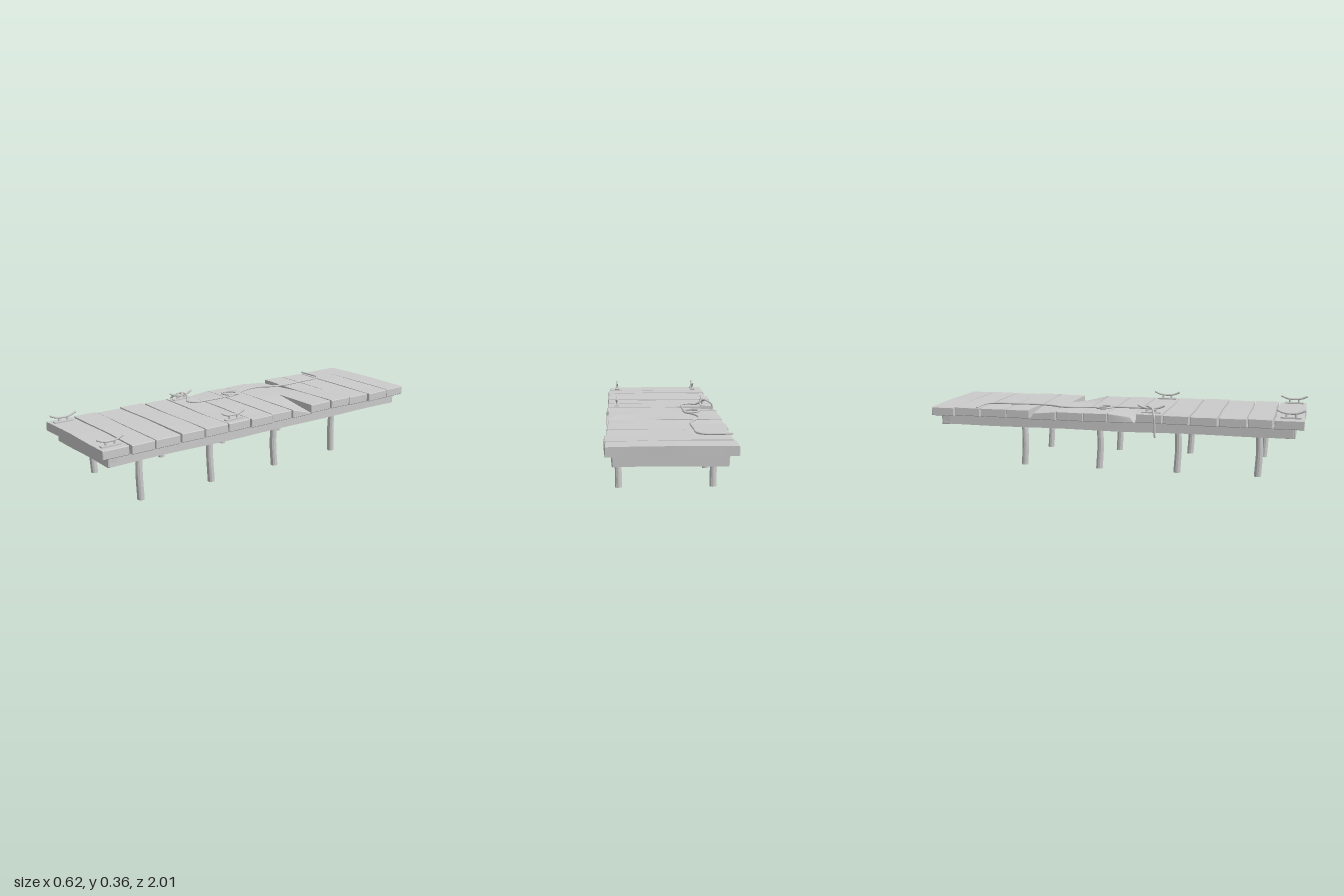
import * as THREE from 'three';
import { toCreasedNormals } from 'three/addons/utils/BufferGeometryUtils.js';

const material = new THREE.MeshStandardMaterial({ color: 0xcccccc });

function addMesh(parent, name, geometry) {
  const mesh = new THREE.Mesh(geometry, material);
  mesh.name = name;
  parent.add(mesh);
  return mesh;
}

// Move every vertex by a rule, then refresh the normals
function warp(geometry, rule) {
  const p = geometry.attributes.position;
  const v = new THREE.Vector3();
  for (let i = 0; i < p.count; i++) {
    v.fromBufferAttribute(p, i);
    rule(v);
    p.setXYZ(i, v.x, v.y, v.z);
  }
  return toCreasedNormals(geometry, 0.6);
}

// Bevelled timber running along x, centred on the origin
function timber(length, height, width, bevel, steps) {
  const w = width / 2 - bevel, h = height / 2 - bevel;
  const shape = new THREE.Shape();
  shape.moveTo(-w, -h);
  shape.lineTo(w, -h);
  shape.lineTo(w, h);
  shape.lineTo(-w, h);
  shape.closePath();
  const depth = length - 2 * bevel;
  const g = new THREE.ExtrudeGeometry(shape, {
    depth, steps, bevelEnabled: true, bevelSize: bevel, bevelThickness: bevel, bevelSegments: 1,
  });
  return g.translate(0, 0, -depth / 2).rotateY(Math.PI / 2);
}

// Deck boards: left end, right end, back edge, front edge
const boards = [
  [-0.305, 0.297, -1.0, -0.868], [-0.295, 0.303, -0.863, -0.72], [-0.297, 0.293, -0.716, -0.572],
  [-0.306, 0.293, -0.57, -0.436], [-0.305, 0.287, -0.433, -0.292], [-0.306, 0.303, -0.288, -0.144],
  [-0.302, 0.293, -0.143, -0.01], [-0.306, 0.303, -0.008, 0.133], [-0.292, 0.298, 0.138, 0.278],
  [-0.295, 0.298, 0.282, 0.42], [-0.308, 0.303, 0.428, 0.565], [-0.295, 0.298, 0.57, 0.714],
  [-0.302, 0.303, 0.72, 0.845], [-0.302, 0.293, 0.853, 1.0],
];
// Worn board edges: edge side along z, direction along x, depth
const chips = { 4: [-1, -1, 0.012], 5: [-1, 1, 0.032], 7: [1, -1, 0.014] };

function buildDeck(parent) {
  const deck = new THREE.Group();
  deck.name = 'deck';
  parent.add(deck);
  boards.forEach(([x0, x1, z0, z1], i) => {
    const width = z1 - z0;
    const chip = chips[i];
    const g = warp(timber(x1 - x0, 0.046, width, 0.003, 10), (v) => {
      const edge = Math.sign(v.z);
      const nearEdge = Math.abs(v.z) > width / 2 - 0.004;
      if (chip && v.y > 0 && nearEdge && edge === chip[0]) {
        const reach = Math.max(0, v.x * chip[1]) / 0.3;
        v.y -= chip[2] * reach;
        v.z -= edge * 0.02 * reach;
      }
      v.z += 0.002 * Math.sin(v.x * 14 + i * 2.3 + edge) - edge * 0.001;
      v.y += 0.0015 * Math.cos(v.x * 8 + i * 1.1 * (i < 13 ? 1 : 0));
      v.x += 0.01 * v.z * Math.sin(i * 1.9);
    });
    const board = addMesh(deck, 'deckBoard', g);
    board.position.set((x0 + x1) / 2, 0.288 + 0.001 * Math.sin(i * 2.7), (z0 + z1) / 2);
    board.rotation.x = 0.012 * Math.sin(i * 1.7);
  });
}

function buildFrame(parent) {
  const frame = new THREE.Group();
  frame.name = 'supportFrame';
  parent.add(frame);
  for (const s of [-1, 1]) {
    // Long side beams
    const side = addMesh(frame, 'sideBeam', warp(timber(1.9, 0.054, 0.05, 0.003, 24), (v) => {
      v.y += 0.0015 * Math.sin(v.x * 9 + s);
      v.z += 0.003 * Math.sin(v.x * 5 + s * 2);
    }));
    side.rotation.y = Math.PI / 2;
    side.position.set(s * 0.241, 0.239, 0);
    // Short end beams
    const end = addMesh(frame, 'endBeam', warp(timber(0.53, 0.055, 0.05, 0.003, 10), (v) => {
      v.y += 0.002 * Math.sin(v.x * 12 + 0.6);
      v.x += v.y * 0.06 * Math.sign(v.x);
    }));
    end.position.set(0, 0.238, s * 0.932);
  }
}

function buildPosts(parent) {
  [0.775, 0.355, -0.065, -0.485].forEach((z, i) => {
    for (const s of [-1, 1]) {
      const phase = i * 1.7 + s;
      const g = warp(new THREE.CylinderGeometry(0.0175, 0.0185, 0.22, 10, 6), (v) => {
        v.x += 0.0015 * Math.sin(v.y * 22 + phase);
        v.z += 0.004 * Math.sin(v.y * 18 + 1);
      });
      const post = addMesh(parent, 'post', g);
      post.position.set(s * 0.24, 0.112, z);
    }
  });
}

function buildCleat(parent, x, z) {
  const cleat = new THREE.Group();
  cleat.name = 'mooringCleat';
  cleat.position.set(x, 0.311, z);
  parent.add(cleat);
  const base = addMesh(cleat, 'cleatBase', timber(0.105, 0.008, 0.028, 0.002, 1));
  base.rotation.y = Math.PI / 2;
  base.position.y = 0.004;
  for (const s of [-1, 1]) {
    const leg = addMesh(cleat, 'cleatLeg', new THREE.CylinderGeometry(0.0045, 0.006, 0.024, 8));
    leg.position.set(0, 0.016, s * 0.024);
  }
  // Upturned horns, tapered toward the tips
  const curve = new THREE.CatmullRomCurve3([
    [-0.068, 0.041], [-0.045, 0.031], [-0.02, 0.026], [0.02, 0.026], [0.045, 0.031], [0.068, 0.041],
  ].map(([pz, py]) => new THREE.Vector3(0, py, pz)));
  addMesh(cleat, 'cleatHorns', new THREE.TubeGeometry(curve, 16, 0.0055, 8));
  for (const s of [-1, 1]) {
    const tip = addMesh(cleat, 'cleatTip', new THREE.SphereGeometry(0.0056, 8, 6));
    tip.position.set(0, 0.041, s * 0.068);
  }
}

function buildRope(parent) {
  const y = 0.317;
  const points = [
    [-0.302, y, -0.735], [-0.22, y, -0.737], [-0.165, y, -0.732], [-0.138, y, -0.7], [-0.132, y, -0.6],
    [-0.127, y, -0.45], [-0.148, y, -0.355], [-0.178, y, -0.3], [-0.183, y, -0.23], [-0.158, y, -0.145],
    [-0.125, y, -0.095],
  ];
  // Single coil lying on the boards
  for (let i = 0; i <= 10; i++) {
    const a = -0.2 + (i / 10) * Math.PI * 2;
    points.push([-0.161 + 0.041 * Math.cos(a), y + 0.006 * (1 - i / 10), -0.062 + 0.041 * Math.sin(a)]);
  }
  // On to the cleat, over it and down the side
  points.push(
    [-0.119, y, 0.0], [-0.12, y, 0.13], [-0.13, y, 0.195], [-0.165, y, 0.22], [-0.205, y, 0.193],
    [-0.225, 0.331, 0.183], [-0.243, 0.347, 0.196], [-0.258, 0.341, 0.215], [-0.245, 0.329, 0.235],
    [-0.232, 0.336, 0.22], [-0.245, 0.347, 0.205], [-0.264, 0.339, 0.222], [-0.298, 0.317, 0.236],
    [-0.307, 0.3, 0.24], [-0.305, 0.25, 0.242], [-0.304, 0.198, 0.244],
  );
  const curve = new THREE.CatmullRomCurve3(points.map((p) => new THREE.Vector3(...p)), false, 'centripetal');
  addMesh(parent, 'rope', new THREE.TubeGeometry(curve, 260, 0.0052, 8));
  for (const end of [points[0], points[points.length - 1]]) {
    addMesh(parent, 'ropeEnd', new THREE.SphereGeometry(0.0052, 8, 6)).position.set(...end);
  }
}

export function createModel() {
  const dock = new THREE.Group();
  dock.name = 'dock';
  buildDeck(dock);
  buildFrame(dock);
  buildPosts(dock);
  for (const z of [0.932, 0.213]) {
    for (const x of [-0.243, 0.248]) buildCleat(dock, x, z);
  }
  buildRope(dock);
  return dock;
}
